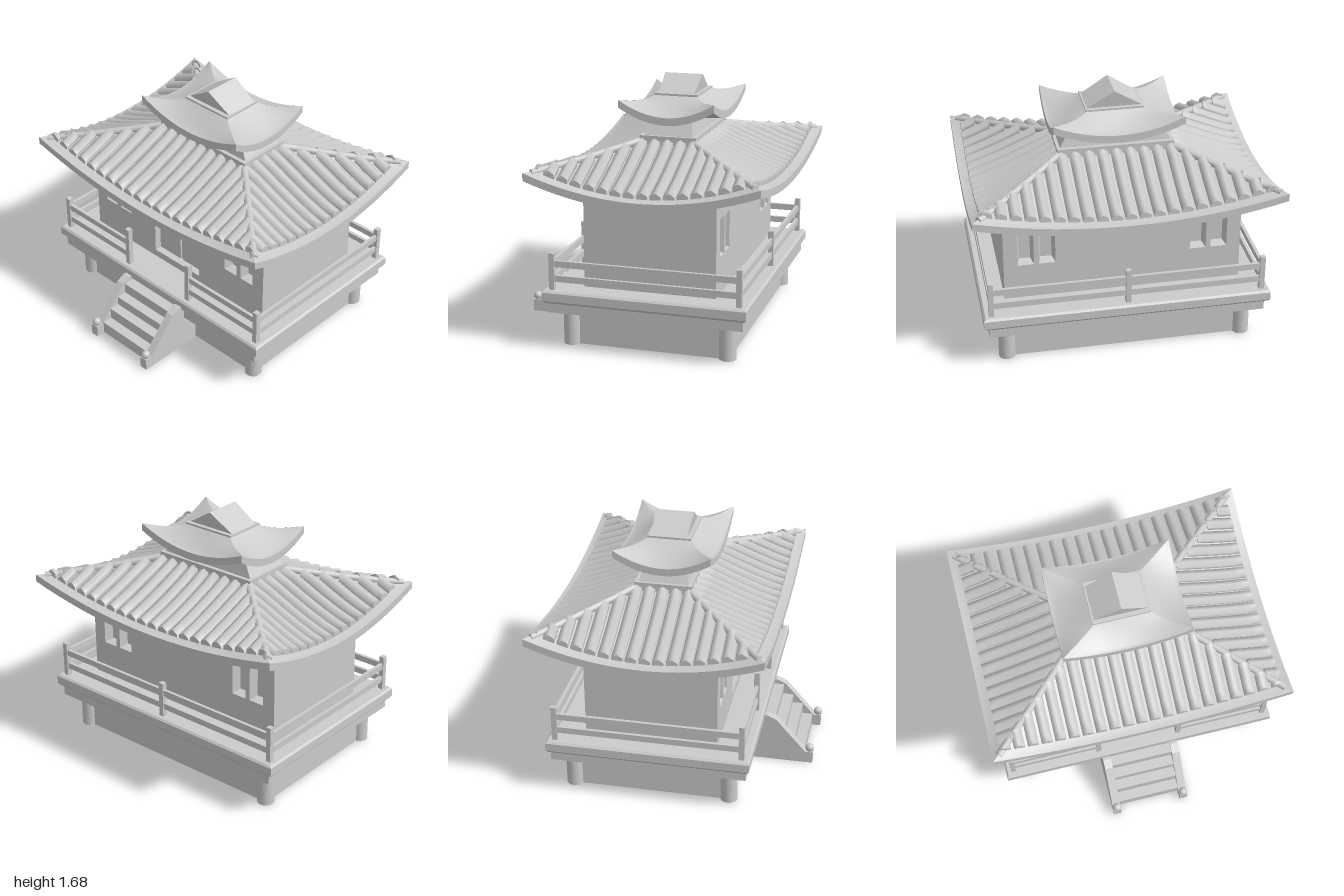
import * as THREE from 'three';
import { toCreasedNormals } from 'three/addons/utils/BufferGeometryUtils.js';
import { ParametricGeometry } from 'three/addons/geometries/ParametricGeometry.js';

const mat = new THREE.MeshStandardMaterial({ color: 0xcccccc, side: THREE.DoubleSide });
const lerp = THREE.MathUtils.lerp;

function add(parent, name, geometry, x = 0, y = 0, z = 0) {
  const mesh = new THREE.Mesh(geometry, mat);
  mesh.name = name;
  mesh.position.set(x, y, z);
  parent.add(mesh);
  return mesh;
}

// Box given by its limits
function box(parent, name, x0, x1, y0, y1, z0, z1) {
  return add(parent, name, new THREE.BoxGeometry(x1 - x0, y1 - y0, z1 - z0),
    (x0 + x1) / 2, (y0 + y1) / 2, (z0 + z1) / 2);
}

// Box with a different half size at the bottom and top
function frustum(parent, name, x0, z0, x1, z1, y0, y1) {
  const g = new THREE.BoxGeometry(2, y1 - y0, 2);
  const p = g.attributes.position;
  for (let i = 0; i < p.count; i++) {
    const top = p.getY(i) > 0;
    p.setX(i, p.getX(i) * (top ? x1 : x0));
    p.setZ(i, p.getZ(i) * (top ? z1 : z0));
  }
  g.computeVertexNormals();
  return add(parent, name, g, 0, (y0 + y1) / 2, 0);
}

// Capped bar that follows path(t)
function bentBar(parent, name, path, r, sides) {
  const g = new THREE.CylinderGeometry(r, r, 1, sides, 6);
  const p = g.attributes.position;
  const a = path(0), d = path(1).sub(a).setY(0).normalize();
  for (let i = 0; i < p.count; i++) {
    const c = path(p.getY(i) + 0.5);
    const sx = p.getX(i), up = p.getZ(i);
    p.setXYZ(i, c.x + d.z * sx, c.y + up, c.z - d.x * sx);
  }
  return add(parent, name, toCreasedNormals(g, 1.15));
}

// One slope of a curved hip roof: W, D half eave and outward reach; w, d the same at the top.
// The corner lift dies away towards the top at a rate set by fade.
function slope({ W, D, w, d, mid, corner, top, power, fade }) {
  return (s, t) => {
    const rise = Math.pow(t, power);
    const lift = (corner - mid) * s * s * Math.pow(1 - rise, fade);
    return new THREE.Vector3(s * lerp(W, w, t), lerp(mid, top, rise) + lift, lerp(D, d, t));
  };
}

// Top skin, eave band, and a soffit running in to the wall at height wallY
function roofSlope(parent, name, o, f) {
  const { thick } = o;
  const soffit = slope({ ...o, w: o.wallW, d: o.wallD, top: o.wallY + thick, power: 1, fade: 1 });
  const surface = (part, fn, nu, nv) =>
    add(parent, name + part, new ParametricGeometry(fn, nu, nv));
  surface('Top', (u, v, p) => p.copy(f(u * 2 - 1, v)), 20, 8);
  surface('Soffit', (u, v, p) => { p.copy(soffit(1 - u * 2, v)); p.y -= thick; }, 20, 4);
  surface('Fascia', (u, v, p) => { p.copy(f(u * 2 - 1, 0)); p.y -= thick * (1 - v); }, 20, 1);
}

// Four slopes, the side ones turned by a quarter
function hipRoof(parent, name, r, each) {
  for (let i = 0; i < 4; i++) {
    const o = i % 2 ? { ...r, W: r.D, D: r.W, w: r.d, d: r.w, wallW: r.wallD, wallD: r.wallW, mid: r.sideMid } : r;
    const side = new THREE.Group();
    side.name = name + 'Side';
    side.rotation.y = i * Math.PI / 2;
    parent.add(side);
    const f = slope(o);
    roofSlope(side, name, o, f);
    if (each) each(side, o, f, i);
  }
}

const rect = (P, x0, x1, y0, y1) => new P([[x0, y0], [x1, y0], [x1, y1], [x0, y1]]
  .map(([x, y]) => new THREE.Vector2(x, y)));

// Wall with sloped window recesses, facing +z
function windowWall(parent, name, hasDoor) {
  const g = new THREE.Group();
  g.name = name;
  parent.add(g);
  const shape = rect(THREE.Shape, -0.788, 0.788, 0.38, 1.035);
  const depth = 0.06, face = 0.437;
  if (hasDoor) {
    shape.holes.push(rect(THREE.Path, -0.21, 0.21, 0.445, 0.943));
    for (const s of [-1, 1])
      box(g, 'doorLeaf', s > 0 ? 0.012 : -0.21, s > 0 ? 0.21 : -0.012, 0.445, 0.943, 0.37, 0.388);
  }
  for (const x of [-0.643, -0.502, 0.502, 0.643]) {
    shape.holes.push(rect(THREE.Path, x - 0.054, x + 0.054, 0.637, 0.885));
    const frame = new THREE.CylinderGeometry(Math.SQRT1_2, Math.SQRT1_2, 1, 4, 1, true, Math.PI / 4)
      .toNonIndexed();
    frame.rotateX(Math.PI / 2);
    const p = frame.attributes.position;
    for (let i = 0; i < p.count; i++) {
      const inset = p.getZ(i) > 0 ? 0 : 0.034;
      p.setXYZ(i, p.getX(i) * (0.108 - inset), p.getY(i) * (0.248 - inset), p.getZ(i) * depth);
    }
    frame.computeVertexNormals();
    add(g, 'windowFrame', frame, x, 0.761, face - depth / 2);
  }
  add(g, 'wallPanel', new THREE.ExtrudeGeometry(shape, { depth, bevelEnabled: false }), 0, 0, face - depth);
  return g;
}

export function createModel() {
  const model = new THREE.Group();
  model.name = 'pavilion';
  const house = new THREE.Group();
  house.name = 'house';
  house.position.z = -0.125;
  model.add(house);

  // Base: pillars, thin skirt walls, floor beam and chamfered deck
  for (const s of [-1, 1]) {
    for (const q of [-1, 1])
      add(house, 'pillar', new THREE.CylinderGeometry(0.056, 0.056, 0.24, 20), s * 0.795, 0.127, q * 0.52);
    box(house, 'skirtWall', -0.805, 0.805, 0.007, 0.25, s * 0.525 - 0.008, s * 0.525 + 0.008);
    box(house, 'skirtWall', s * 0.8 - 0.008, s * 0.8 + 0.008, 0.007, 0.25, -0.525, 0.525);
  }
  box(house, 'floorBeam', -0.915, 0.915, 0.24, 0.32, -0.645, 0.645);
  frustum(house, 'deckUnderChamfer', 0.935, 0.655, 0.95, 0.67, 0.308, 0.325);
  box(house, 'deck', -0.95, 0.95, 0.325, 0.38, -0.67, 0.67);
  frustum(house, 'deckTopChamfer', 0.95, 0.67, 0.938, 0.658, 0.38, 0.393);

  // Railing
  const post = (x, z, top) => box(house, 'railPost', x - 0.017, x + 0.017, 0.38, top, z - 0.018, z + 0.018);
  for (const s of [-1, 1]) {
    post(s * 0.897, 0.615, 0.635);
    post(s * 0.897, -0.615, 0.635);
    post(s * 0.285, 0.615, 0.68);
    for (const y of [0.447, 0.545]) {
      box(house, 'sideRail', s * 0.897 - 0.011, s * 0.897 + 0.011, y, y + 0.042, -0.615, 0.615);
      box(house, 'frontRail', s > 0 ? 0.285 : -0.897, s > 0 ? 0.897 : -0.285, y, y + 0.042, 0.604, 0.626);
    }
  }
  post(0, -0.615, 0.635);
  for (const y of [0.447, 0.545]) box(house, 'backRail', -0.897, 0.897, y, y + 0.042, -0.626, -0.604);

  // Walls
  box(house, 'wallCore', -0.788, 0.788, 0.38, 1.035, -0.377, 0.377);
  windowWall(house, 'frontWall', true);
  windowWall(house, 'backWall', false).rotation.y = Math.PI;

  // Main roof with tile rows on every slope and bars on the hips
  const main = { W: 1, D: 0.76, w: 0.385, d: 0.19, mid: 1.05, sideMid: 1.03, corner: 1.17, top: 1.263,
    power: 1.3, fade: 1, thick: 0.05, wallW: 0.785, wallD: 0.435, wallY: 1.02 };
  hipRoof(house, 'mainRoof', main, (side, o, f, i) => {
    const pitch = i % 2 ? 0.087 : 0.0905;
    const n = Math.floor((o.W - 0.09) / pitch);
    for (let k = -n; k <= n; k++) {
      const x = k * pitch;
      const t0 = 0.058 / (o.D - o.d);
      const t1 = Math.min(1, (o.W - Math.abs(x) - 0.01) / (o.W - o.w));
      if (t1 < t0 + 0.03) continue;
      bentBar(side, 'tileRow', (q) => {
        const t = lerp(t0, t1, q);
        return f(x / lerp(o.W, o.w, t), t);
      }, 0.042, 6);
    }
    bentBar(side, 'hipBar', (q) => {
      const p = f(1, lerp(0.07, 1, q));
      p.y += lerp(-0.008, 0.018, q);
      return p;
    }, 0.024, 8);
  });

  // Neck between the roofs
  box(house, 'neckBase', -0.385, 0.385, 1.25, 1.322, -0.19, 0.19);
  frustum(house, 'neck', 0.365, 0.163, 0.285, 0.13, 1.322, 1.46);

  // Upper roof with upswept corners
  hipRoof(house, 'upperRoof', { W: 0.425, D: 0.32, w: 0.18, d: 0.14, mid: 1.457, sideMid: 1.452, corner: 1.553,
    top: 1.56, power: 1.3, fade: 1.8, thick: 0.05, wallW: 0.28, wallD: 0.125, wallY: 1.41 });

  // Gable cap, ridge a little longer than its base
  box(house, 'gableBase', -0.19, 0.19, 1.54, 1.568, -0.147, 0.147);
  frustum(house, 'gableCap', 0.178, 0.118, 0.001, 0.13, 1.568, 1.677);

  // Stairs
  const stairs = new THREE.Group();
  stairs.name = 'stairs';
  model.add(stairs);
  [0.09, 0.17, 0.235, 0.31].forEach((y, i) => {
    const z = 0.82 - i * 0.07;
    box(stairs, 'step', -0.22, 0.22, y - 0.085, y, z - 0.085, z);
  });
  const profile = new THREE.Shape([[-0.395, 0], [-0.88, 0], [-0.88, 0.083], [-0.83, 0.083],
    [-0.625, 0.315], [-0.565, 0.342], [-0.5, 0.342], [-0.395, 0.24]]
    .map(([x, y]) => new THREE.Vector2(x, y)));
  for (const s of [-1, 1]) {
    const g = new THREE.ExtrudeGeometry(profile, { depth: 0.055, bevelEnabled: false });
    g.rotateY(Math.PI / 2);
    add(stairs, 'stringer', g, s * 0.2425 - 0.0275, 0, 0);
    add(stairs, 'newelBall', new THREE.SphereGeometry(0.029, 16, 12), s * 0.2425, 0.105, 0.857);
  }
  return model;
}
